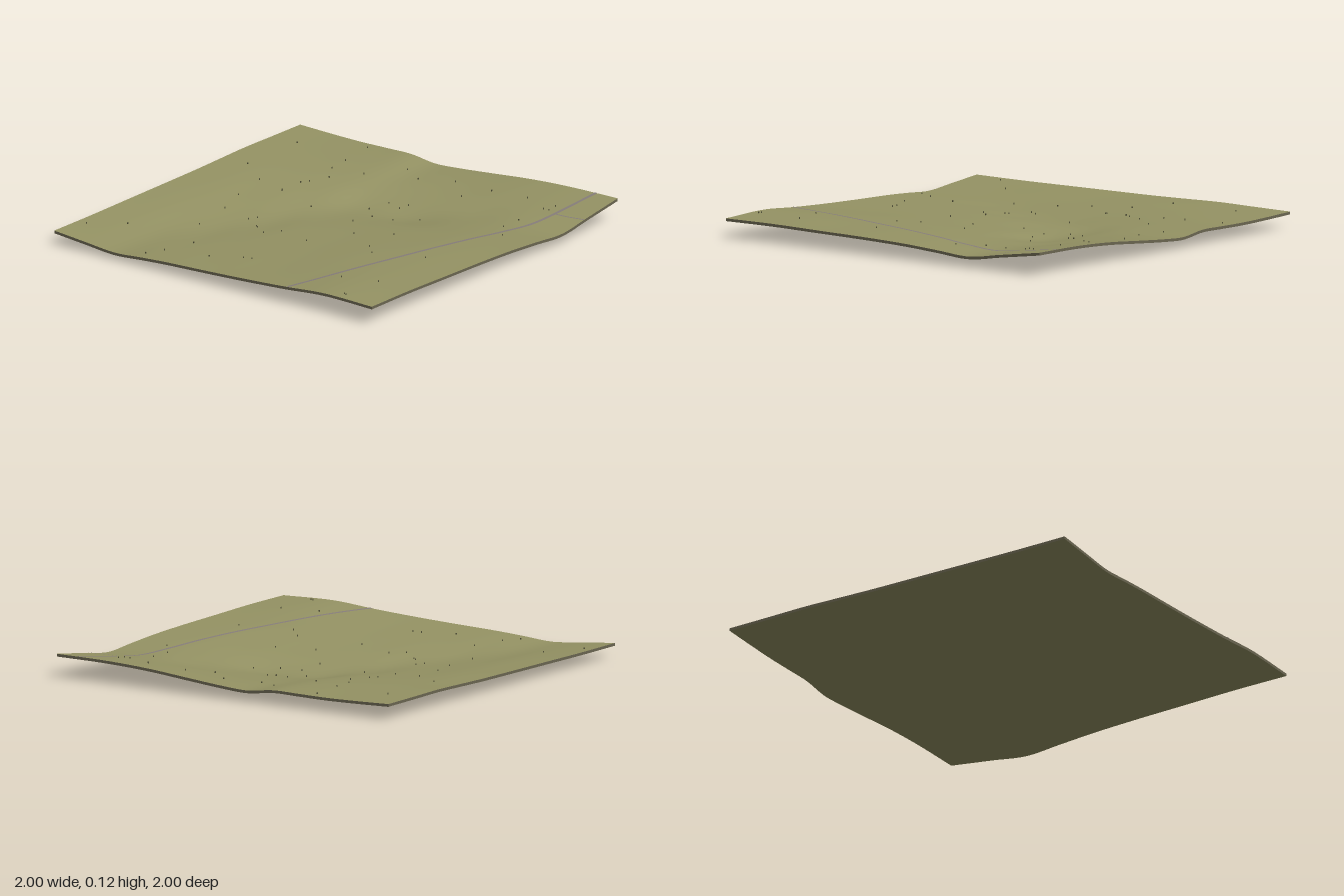
import * as THREE from 'three';

const mat = (name, color, side = THREE.FrontSide) => {
  const m = new THREE.MeshStandardMaterial({ color, side });
  m.name = name;
  return m;
};

// Control heights of the land in thousandths: one row per z, one column per x
const XS = [-1, -0.7, -0.4, -0.1, 0.15, 0.35, 0.55, 0.75, 1];
const ZS = [-1, -0.8, -0.62, -0.45, -0.3, -0.15, 0, 0.2, 0.45, 0.7, 1];
const H = [
  [77, 76, 78, 80, 82, 86, 90, 88, 86],
  [58, 60, 66, 70, 76, 80, 82, 82, 80],
  [42, 42, 46, 54, 62, 70, 76, 78, 77],
  [52, 46, 36, 40, 50, 60, 70, 76, 79],
  [60, 54, 44, 32, 34, 48, 62, 72, 80],
  [65, 60, 54, 42, 26, 22, 45, 56, 62],
  [70, 66, 60, 50, 32, 18, 38, 56, 69],
  [78, 74, 70, 60, 46, 20, 40, 62, 86],
  [91, 91, 88, 78, 66, 52, 50, 76, 108],
  [108, 105, 98, 92, 82, 70, 66, 86, 120],
  [101, 102, 97, 92, 84, 72, 60, 88, 123],
];
const THICK = 0.014;

// Smooth interpolation through unevenly spaced knots
function spline(knots, vals, t) {
  const n = knots.length;
  let i = 0;
  while (i < n - 2 && t > knots[i + 1]) i++;
  const slope = (k) => {
    const a = Math.max(k - 1, 0), b = Math.min(k + 1, n - 1);
    return (vals[b] - vals[a]) / (knots[b] - knots[a]);
  };
  const h = knots[i + 1] - knots[i];
  const u = (t - knots[i]) / h, u2 = u * u, u3 = u2 * u;
  return (2 * u3 - 3 * u2 + 1) * vals[i] + (u3 - 2 * u2 + u) * h * slope(i)
    + (3 * u2 - 2 * u3) * vals[i + 1] + (u3 - u2) * h * slope(i + 1);
}
const height = (x, z) => spline(ZS, H.map((row) => spline(XS, row, x)), z) / 1000;

// Square sheet draped over the land, facing up or down
function sheet(offset, up) {
  const g = new THREE.PlaneGeometry(2, 2, 64, 64);
  g.rotateX(up ? -Math.PI / 2 : Math.PI / 2);
  const p = g.attributes.position;
  for (let i = 0; i < p.count; i++) p.setY(i, height(p.getX(i), p.getZ(i)) + offset);
  g.computeVertexNormals();
  return g;
}

// Thin wall along one side of the square, joining top and underside
function wall(angle) {
  const g = new THREE.PlaneGeometry(2, 1, 64, 1);
  g.translate(0, 0, 1);
  g.rotateY(angle);
  const p = g.attributes.position;
  for (let i = 0; i < p.count; i++) {
    p.setY(i, height(p.getX(i), p.getZ(i)) - (p.getY(i) > 0 ? 0 : THICK));
  }
  g.computeVertexNormals();
  return g;
}

// Flat ribbon following a path across the land
function ribbon(points, width, steps) {
  const curve = new THREE.CatmullRomCurve3(points.map(([x, z]) => new THREE.Vector3(x, 0, z)));
  const g = new THREE.PlaneGeometry(1, 1, steps, 2);
  g.rotateX(-Math.PI / 2);
  const p = g.attributes.position;
  for (let i = 0; i < p.count; i++) {
    const t = THREE.MathUtils.clamp(p.getX(i) + 0.5, 0, 1);
    const c = curve.getPointAt(t), d = curve.getTangentAt(t), s = p.getZ(i) * width;
    const x = THREE.MathUtils.clamp(c.x - d.z * s, -1, 1);
    const z = THREE.MathUtils.clamp(c.z + d.x * s, -1, 1);
    p.setXYZ(i, x, height(x, z) + 0.002, z);
  }
  g.computeVertexNormals();
  return g;
}

export function createModel() {
  const grass = mat('grass', 0x959364);
  const earth = mat('earth edge', 0x6a6550);
  const tarmac = mat('road grey', 0x877e7a, THREE.DoubleSide);
  const shrub = mat('shrub', 0x5c5b40);

  const group = new THREE.Group();
  group.name = 'landscape';
  const add = (name, geometry, material) => {
    const m = new THREE.Mesh(geometry, material);
    m.name = name;
    group.add(m);
    return m;
  };

  // Land slab
  add('landSurface', sheet(0, true), grass);
  const underside = add('underside', sheet(-THICK, false), grass);
  for (let i = 0; i < 4; i++) add('slabEdge', wall(i * Math.PI / 2), earth);

  // Main road and side lane
  add('mainRoad', ribbon([[-1, 0.47], [-0.8, 0.525], [-0.4, 0.615], [0, 0.7], [0.4, 0.775], [0.7, 0.825], [1, 0.865]], 0.018, 90), tarmac);
  add('sideLane', ribbon([[0.71, 0.82], [0.712, 0.9], [0.725, 1]], 0.008, 16), tarmac);

  // Tiny shrubs scattered over the land
  let seed = 7;
  const rnd = () => (seed = (seed * 16807) % 2147483647) / 2147483647;
  const bush = new THREE.BoxGeometry(0.004, 0.01, 0.004);
  for (let i = 0; i < 60; i++) {
    const x = rnd() * 1.9 - 0.95, z = rnd() * 1.9 - 0.95;
    add('shrub', bush, shrub).position.set(x, height(x, z) + 0.003, z);
  }

  // Rest the lowest point on the ground
  underside.geometry.computeBoundingBox();
  const low = underside.geometry.boundingBox.min.y;
  group.children.forEach((m) => { m.position.y -= low; });
  return group;
}
